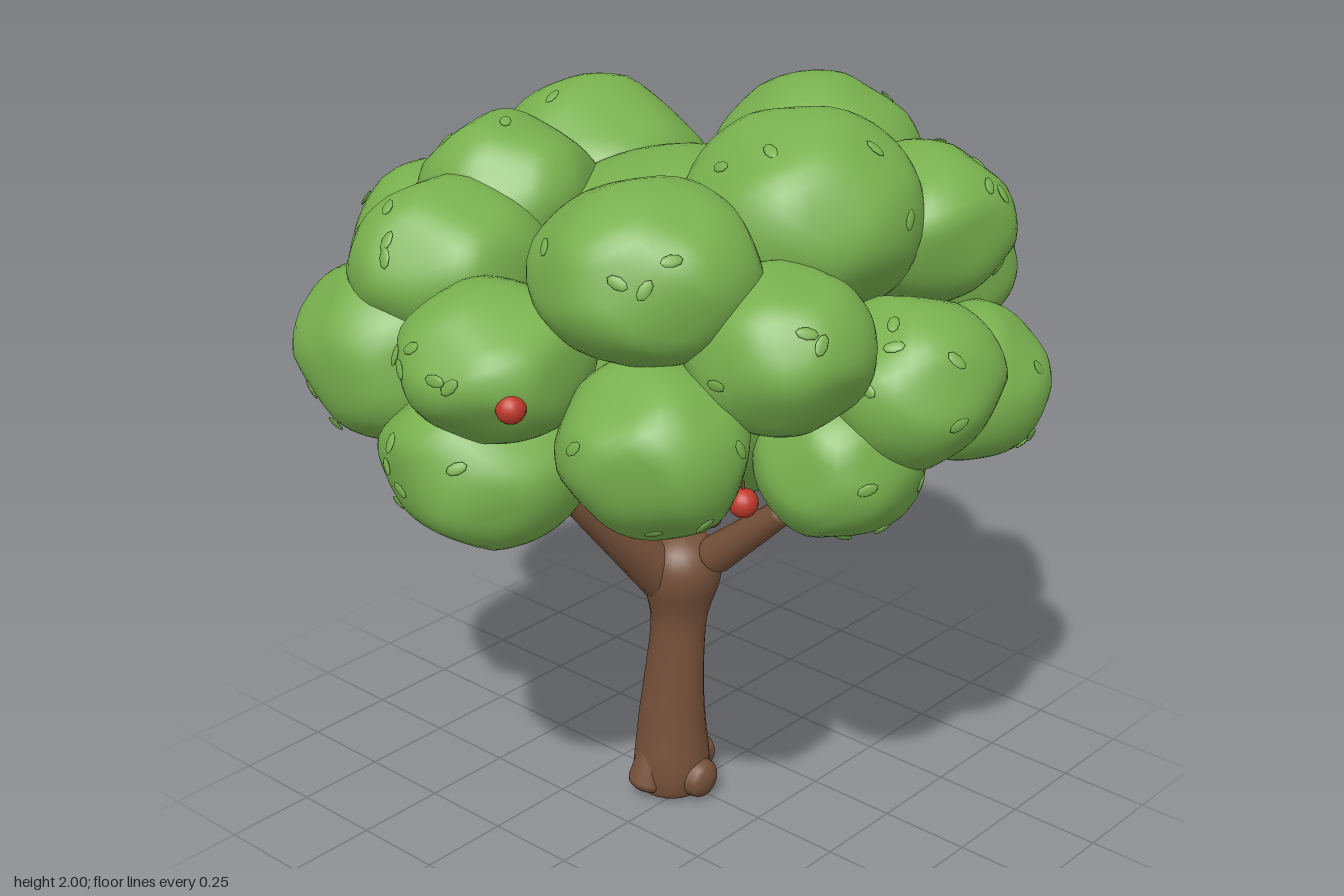
import * as THREE from 'three';
import { mergeVertices } from 'three/addons/utils/BufferGeometryUtils.js';

const foliage = new THREE.MeshStandardMaterial({ color: 0x78b04e });
const bark = new THREE.MeshStandardMaterial({ color: 0x76513a });
const red = new THREE.MeshStandardMaterial({ color: 0xc0392b });
const V = (x, y, z) => new THREE.Vector3(x, y, z);
const UP = V(0, 1, 0);

// Small seeded random number source
let seed = 7;
function rand() {
  seed = (seed * 16807) % 2147483647;
  return seed / 2147483647;
}

function add(parent, name, geometry, material, position) {
  const mesh = new THREE.Mesh(geometry, material);
  mesh.name = name;
  if (position) mesh.position.copy(position);
  parent.add(mesh);
  return mesh;
}

// Radius rule of a softened polyhedron: jittered facets blended by a power sum
function lumpRule() {
  const facets = [];
  const count = 14, turn = rand() * 6.28;
  for (let i = 0; i < count; i++) {
    const y = 1 - (2 * i + 1) / count, r = Math.sqrt(1 - y * y), a = turn + i * 2.4;
    const n = V(r * Math.cos(a), y, r * Math.sin(a));
    n.add(V(rand() - 0.5, rand() - 0.5, rand() - 0.5).multiplyScalar(0.4)).normalize();
    facets.push(n.divideScalar(0.94 + rand() * 0.08));
  }
  return (d) => {
    let sum = 0;
    for (const n of facets) sum += Math.pow(Math.max(0, d.dot(n)), 9);
    return Math.min(1.05, Math.pow(sum, -1 / 9));
  };
}

// Smooth ball whose vertices are moved to the given radius rule
function ball(rule, size, detail) {
  let g = new THREE.IcosahedronGeometry(1, detail);
  g.deleteAttribute('uv');
  g.deleteAttribute('normal');
  g = mergeVertices(g, 1e-4);
  const p = g.attributes.position, d = V(0, 0, 0);
  for (let i = 0; i < p.count; i++) {
    d.fromBufferAttribute(p, i).normalize();
    d.multiplyScalar(rule(d)).multiply(size);
    p.setXYZ(i, d.x, d.y, d.z);
  }
  g.computeVertexNormals();
  return g;
}

// Tapered limb with rounded ends between two points
function limb(parent, name, from, to, r0, r1) {
  const length = from.distanceTo(to), profile = [];
  for (let i = 0; i <= 5; i++) {
    const a = (i / 5 - 1) * Math.PI / 2;
    profile.push(new THREE.Vector2(r0 * Math.cos(a), r0 * 0.6 * Math.sin(a)));
  }
  for (let i = 0; i <= 5; i++) {
    const a = i / 5 * Math.PI / 2;
    profile.push(new THREE.Vector2(r1 * Math.cos(a), length + r1 * 0.6 * Math.sin(a)));
  }
  const mesh = add(parent, name, new THREE.LatheGeometry(profile, 16), bark, from);
  mesh.quaternion.setFromUnitVectors(UP, to.clone().sub(from).normalize());
}

// Foliage clumps: x, y, z, horizontal radius, vertical radius
const CLUMPS = [
  [0.04, 1.69, -0.46, 0.27, 0.245], [-0.51, 1.63, -0.21, 0.285, 0.25],
  [0.36, 1.745, 0.00, 0.28, 0.25], [-0.35, 1.70, 0.28, 0.225, 0.22],
  [0.27, 1.70, 0.45, 0.265, 0.205], [-0.31, 1.61, 0.53, 0.24, 0.20],
  [0.00, 1.48, 0.68, 0.235, 0.18], [-0.42, 1.38, 0.59, 0.265, 0.24],
  [-0.08, 1.20, 0.65, 0.25, 0.21], [0.38, 1.32, 0.55, 0.22, 0.21],
  [0.55, 1.54, 0.31, 0.215, 0.19], [0.67, 1.39, -0.03, 0.225, 0.20],
  [0.48, 1.67, -0.30, 0.235, 0.20], [0.37, 1.50, -0.56, 0.20, 0.185],
  [0.57, 1.25, -0.41, 0.21, 0.20], [0.57, 1.20, 0.10, 0.20, 0.19],
  [0.00, 1.38, -0.67, 0.24, 0.23], [-0.13, 1.53, -0.59, 0.235, 0.21],
  [-0.29, 1.18, -0.58, 0.245, 0.23], [-0.49, 1.37, -0.42, 0.215, 0.19],
  [-0.68, 1.27, 0.00, 0.22, 0.21], [-0.63, 1.53, 0.26, 0.235, 0.20],
];

const APPLES = [
  [0.19, 1.45, 0.82], [0.53, 1.18, 0.41], [0.28, 1.36, -0.67], [0.09, 1.17, -0.55],
  [-0.67, 1.07, -0.07], [-0.19, 1.73, -0.63],
];

export function createModel() {
  seed = 7;
  const tree = new THREE.Group();
  tree.name = 'appleTree';

  // Trunk: waisted in the middle, leaning towards the left below the fork
  const wood = new THREE.Group();
  wood.name = 'wood';
  tree.add(wood);
  const outline = [[0, 0.01], [0.08, 0.01], [0.1, 0.04], [0.105, 0.1], [0.095, 0.2], [0.083, 0.34],
    [0.075, 0.5], [0.082, 0.58], [0.105, 0.66], [0.108, 0.72], [0.085, 0.77], [0.04, 0.8], [0, 0.81]];
  const curve = new THREE.SplineCurve(outline.map(([r, y]) => new THREE.Vector2(r, y)));
  const profile = curve.getPoints(40).map((q) => new THREE.Vector2(Math.max(0, q.x), q.y));
  const trunk = new THREE.LatheGeometry(profile, 24);
  const p = trunk.attributes.position;
  for (let i = 0; i < p.count; i++) {
    p.setX(i, p.getX(i) - 0.04 + 0.035 * THREE.MathUtils.smoothstep(p.getY(i), 0.2, 0.7));
  }
  add(wood, 'trunk', trunk, bark, V(0, 0, 0.028));

  // Branches
  limb(wood, 'leftBranch', V(0.12, 0.775, 0.03), V(0.335, 0.96, 0.03), 0.052, 0.035);
  limb(wood, 'rightBranch', V(-0.05, 0.67, 0.0), V(-0.34, 0.99, -0.24), 0.078, 0.032);
  limb(wood, 'frontBranch', V(-0.03, 0.68, 0.07), V(-0.1, 1.0, 0.36), 0.072, 0.035);
  limb(wood, 'middleBranch', V(0.03, 0.83, -0.03), V(0.03, 1.08, -0.05), 0.045, 0.03);

  // Roots
  limb(wood, 'leftRoot', V(-0.03, 0.07, 0.03), V(0.065, 0.065, 0.02), 0.065, 0.055);
  limb(wood, 'backRoot', V(-0.03, 0.07, 0.03), V(-0.05, 0.065, -0.09), 0.065, 0.055);
  limb(wood, 'rightRoot', V(-0.1, 0.18, 0.02), V(-0.11, 0.05, 0.02), 0.045, 0.055);
  limb(wood, 'frontRoot', V(-0.05, 0.18, 0.07), V(-0.06, 0.05, 0.105), 0.04, 0.055);

  // Crown: a plain core surrounded by lumpy clumps
  const crown = new THREE.Group();
  crown.name = 'crown';
  tree.add(crown);
  add(crown, 'crownCore', ball(() => 1, V(0.52, 0.445, 0.52), 10), foliage, V(0, 1.385, 0));

  const leafShape = new THREE.SphereGeometry(1, 8, 6);
  for (const [x, y, z, r, h] of CLUMPS) {
    const rule = lumpRule(), size = V(r, h, r), centre = V(x, y, z);
    add(crown, 'foliageClump', ball(rule, size, 8), foliage, centre);
    // Small leaves lying on the outward side of the clump
    const out = V(x, y - 1.4, z).normalize();
    for (let i = 0; i < 5; i++) {
      const d = V(rand() - 0.5, rand() - 0.5, rand() - 0.5).multiplyScalar(2).add(out).normalize();
      const spot = d.clone().multiplyScalar(rule(d) + 0.04 * rand()).multiply(size).add(centre);
      const leaf = add(crown, 'leaf', leafShape, foliage, spot);
      leaf.scale.set(0.027, 0.005, 0.015);
      leaf.quaternion.setFromUnitVectors(UP, d.clone().divide(size).normalize());
      leaf.rotateY(rand() * 6.28);
    }
  }

  // Apples with short stems
  for (const [x, y, z] of APPLES) {
    const apple = new THREE.Group();
    apple.name = 'apple';
    apple.position.set(x, y, z);
    add(apple, 'fruit', new THREE.SphereGeometry(0.036, 16, 12), red);
    add(apple, 'stem', new THREE.CylinderGeometry(0.004, 0.004, 0.03, 6), bark, V(0, 0.04, 0));
    tree.add(apple);
  }
  return tree;
}
